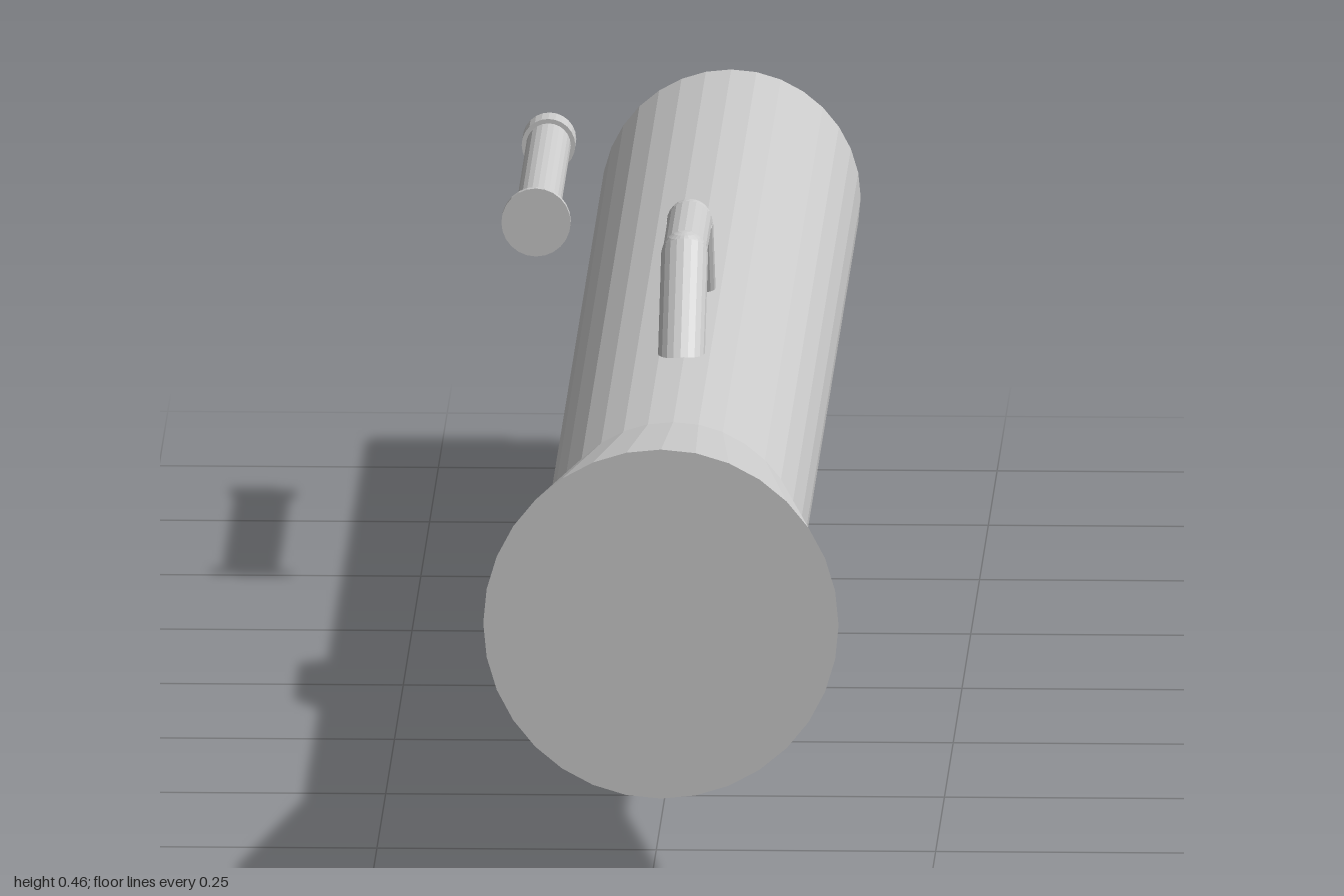
import * as THREE from 'three';

const mat = new THREE.MeshStandardMaterial({ color: 0xcccccc, flatShading: true });
const up = new THREE.Vector3(0, 1, 0);
const v = (x, y, z) => new THREE.Vector3(x, y, z);

function add(parent, name, geometry) {
  const mesh = new THREE.Mesh(geometry, mat);
  mesh.name = name;
  parent.add(mesh);
  return mesh;
}

// Places a y-axis geometry between two points
function span(mesh, a, b) {
  mesh.position.copy(a).add(b).multiplyScalar(0.5);
  mesh.quaternion.setFromUnitVectors(up, b.clone().sub(a).normalize());
  return mesh;
}

function rod(parent, name, a, b, r, sides = 20) {
  return span(add(parent, name, new THREE.CylinderGeometry(r, r, a.distanceTo(b), sides)), a, b);
}

function strip(parent, name, a, b, width, thick) {
  return span(add(parent, name, new THREE.BoxGeometry(width, a.distanceTo(b), thick)), a, b);
}

// Closed solid of revolution along z, from [radius, z] pairs
function turned(parent, name, profile, sides) {
  const geo = new THREE.LatheGeometry(profile.map(([r, z]) => new THREE.Vector2(r, z)), sides);
  geo.rotateX(Math.PI / 2);
  return add(parent, name, geo);
}

export function createModel() {
  const model = new THREE.Group();
  model.name = 'shoulderLauncher';

  // Main tube with flared front end, dipping very slightly to the rear
  const tube = turned(model, 'barrel', [[0, -1], [0.116, -1], [0.116, 0.65], [0.159, 1], [0, 1]], 32);
  tube.position.set(0.012, 0.252, 0);
  tube.rotation.x = -0.0035;

  // Carry handle: two slanted legs and a top bar
  const handle = new THREE.Group();
  handle.name = 'carryHandle';
  model.add(handle);
  const hx = 0.009;
  const h = [v(hx, 0.352, 0.335), v(hx, 0.441, 0.229), v(hx, 0.441, 0.085), v(hx, 0.352, 0)];
  rod(handle, 'handleFrontLeg', h[0], h[1], 0.021);
  rod(handle, 'handleBar', h[1], h[2], 0.02);
  rod(handle, 'handleRearLeg', h[2], h[3], 0.021);
  for (const p of [h[1], h[2]]) {
    add(handle, 'handleElbow', new THREE.SphereGeometry(0.0205, 20, 12)).position.copy(p);
  }

  // Side sight with a flared front rim and a collar at the rear
  const sight = turned(model, 'sight', [
    [0, -0.76], [0.024, -0.76], [0.024, -0.73], [0.02, -0.73],
    [0.02, -0.398], [0.025, -0.39], [0.031, -0.383], [0.031, -0.375], [0, -0.375],
  ], 24);
  sight.position.set(-0.143, 0.348, 0);

  // Grip and rear support post
  const gx = 0.033;
  rod(model, 'grip', v(gx, 0.004, -0.405), v(gx, 0.16, -0.436), 0.02);
  rod(model, 'rearPost', v(gx, 0, -0.912), v(gx, 0.16, -0.912), 0.02);

  // Trigger guard and trigger
  const guard = new THREE.Group();
  guard.name = 'triggerGuard';
  model.add(guard);
  strip(guard, 'guardBottom', v(gx, 0.068, -0.42), v(gx, 0.068, -0.505), 0.014, 0.004);
  strip(guard, 'guardBack', v(gx, 0.068, -0.504), v(gx, 0.15, -0.524), 0.014, 0.004);
  strip(model, 'trigger', v(gx, 0.15, -0.466), v(gx, 0.105, -0.478), 0.008, 0.005);
  strip(model, 'triggerTip', v(gx, 0.106, -0.478), v(gx, 0.09, -0.49), 0.008, 0.005);

  return model;
}
